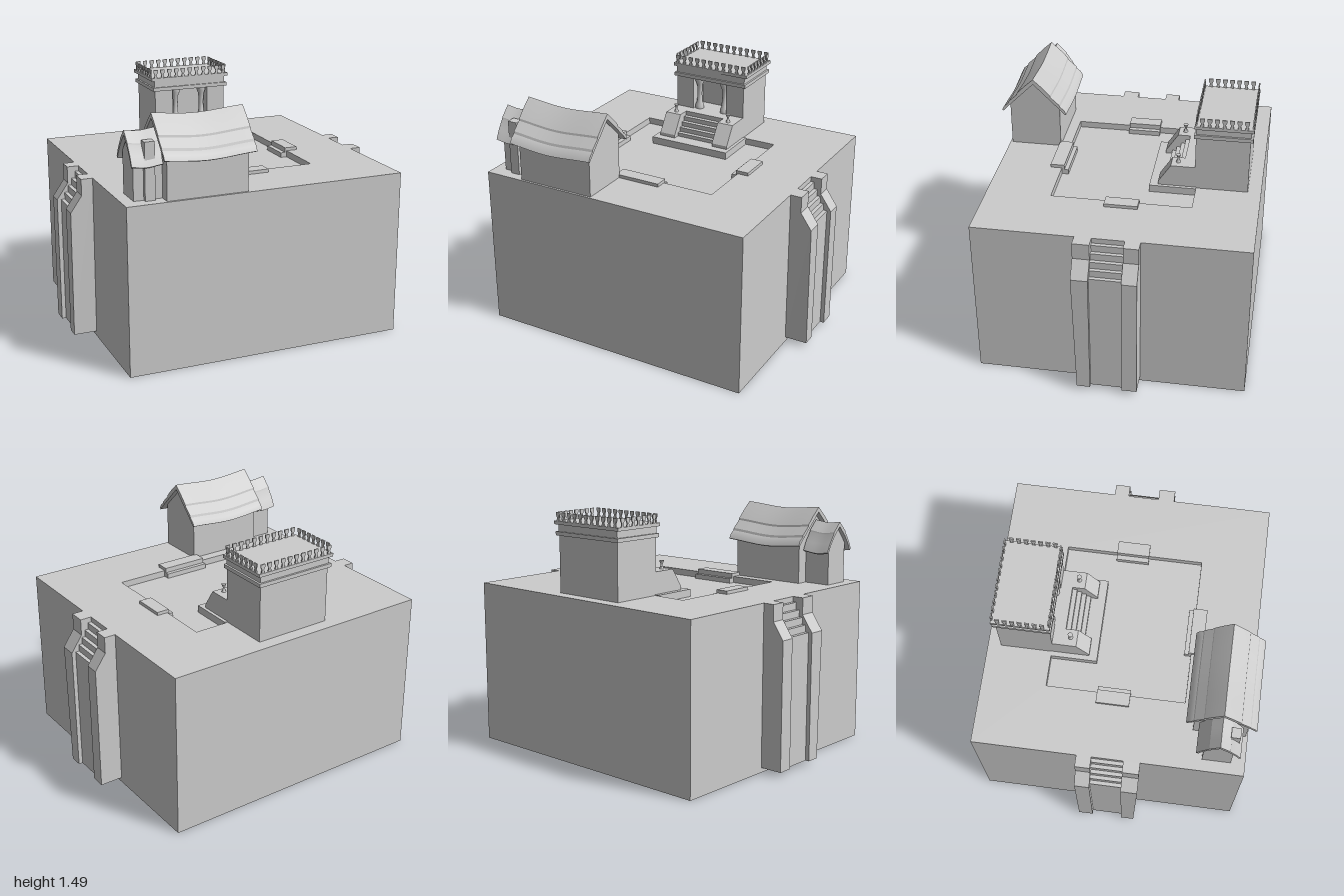
import * as THREE from 'three';
import { toCreasedNormals } from 'three/addons/utils/BufferGeometryUtils.js';

const mat = new THREE.MeshStandardMaterial({ color: 0xcccccc });
const open = new THREE.MeshStandardMaterial({ color: 0xcccccc, side: THREE.DoubleSide });

export function createModel() {
  const model = new THREE.Group();

  function add(name, geo, parent = model, material = mat) {
    const m = new THREE.Mesh(geo, material);
    m.name = name;
    parent.add(m);
    return m;
  }
  function group(name) {
    const g = new THREE.Group();
    g.name = name;
    model.add(g);
    return g;
  }
  // Box from limits; omit lists faces to leave out (0 +x, 1 -x, 2 +y, 3 -y, 4 +z, 5 -z)
  function box(x0, x1, y0, y1, z0, z1, omit = []) {
    const g = new THREE.BoxGeometry(x1 - x0, y1 - y0, z1 - z0);
    g.translate((x0 + x1) / 2, (y0 + y1) / 2, (z0 + z1) / 2);
    g.setIndex(Array.from(g.index.array).filter((_, i) => !omit.includes(Math.floor(i / 6))));
    return g;
  }
  const shapeOf = pts => new THREE.Shape(pts.map(p => new THREE.Vector2(p[0], p[1])));
  // Profile in (x, y) pulled along z
  function prismZ(pts, z0, z1) {
    const g = new THREE.ExtrudeGeometry(shapeOf(pts), { depth: z1 - z0, bevelEnabled: false });
    return g.translate(0, 0, z0);
  }
  // Profile in (z, y) pulled along x
  function prismX(pts, x0, x1, steps = 1) {
    const g = new THREE.ExtrudeGeometry(shapeOf(pts.map(([z, y]) => [-z, y])), { depth: x1 - x0, steps, bevelEnabled: false });
    return g.rotateY(Math.PI / 2).translate(x0, 0, 0);
  }

  // Hollow base block with a sunken court in its top
  const G = 1.01, FLOOR = 0.97;
  const base = group('base');
  add('baseWalls', box(-0.86, 0.86, 0, G, -0.83, 0.79, [2, 3]), base, open);
  const top = shapeOf([[-0.86, -0.79], [0.86, -0.79], [0.86, 0.83], [-0.86, 0.83]]);
  top.holes.push(new THREE.Path([[-0.46, -0.4], [-0.46, 0.44], [0.46, 0.44], [0.46, -0.4]].map(p => new THREE.Vector2(...p))));
  add('baseTop', new THREE.ShapeGeometry(top).rotateX(-Math.PI / 2).translate(0, G, 0), base, open);
  add('sunkenCourt', box(-0.46, 0.46, FLOOR, G, -0.44, 0.4, [2]), base, open);

  // Low steps into the court
  for (const s of [-1, 1]) {
    const step = (a, b, y) => box(Math.min(s * a, s * b), Math.max(s * a, s * b), FLOOR, y, -0.13, 0.07);
    add('courtStepUpper', step(0.45, 0.53, 1.03), base);
    add('courtStepLower', step(0.42, 0.45, 1.0), base);
  }
  add('courtStepUpper', box(-0.15, 0.14, FLOOR, 1.03, 0.385, 0.47), base);
  add('courtStepLower', box(-0.15, 0.14, FLOOR, 1.0, 0.36, 0.385), base);

  // Side stairs, each between two tall cheeks
  for (const s of [-1, 1]) {
    const side = group(s > 0 ? 'leftStairs' : 'rightStairs');
    const cheek = [[0.86, 0.03], [1, 0.03], [1, 0.81], [0.93, 0.91], [0.93, G], [0.86, G]].map(([x, y]) => [s * x, y]);
    add('backCheek', prismZ(cheek, -0.2, -0.11), side);
    const front = prismZ(cheek, 0.08, 0.18);
    const p = front.attributes.position;
    for (let i = 0; i < p.count; i++) if (p.getZ(i) > 0.1 && p.getY(i) < 0.1) p.setZ(i, 0.16);
    front.computeVertexNormals();
    add('frontCheek', front, side);
    const stair = [[0.86, 0.03], [0.975, 0.03]];
    for (let i = 0; i < 5; i++) {
      stair.push([0.975 - i * 0.023, 0.81 + i * 0.042], [0.952 - i * 0.023, 0.81 + i * 0.042]);
    }
    add('stairs', prismZ(stair.map(([x, y]) => [s * x, y]), -0.11, 0.08), side);
  }

  // Temple: body with a porch opening, plinth, cornices
  const temple = group('temple');
  add('plinth', box(-0.27, 0.26, FLOOR, G + 0.005, -0.44, -0.16), temple);
  add('rearBody', box(-0.24, 0.24, G, 1.36, -0.75, -0.56), temple);
  add('porchFloor', box(-0.24, 0.24, G, 1.15, -0.56, -0.36), temple);
  for (const s of [-1, 1]) {
    add('porchWall', s > 0 ? box(0.12, 0.24, 1.15, 1.36, -0.56, -0.43) : box(-0.24, -0.12, 1.15, 1.36, -0.56, -0.43), temple);
    // Stair cheek with sloping nose
    const x0 = s > 0 ? 0.135 : -0.24;
    add('stairCheek', prismX([[-0.44, G], [-0.21, G], [-0.21, 1.035], [-0.285, 1.09], [-0.285, 1.09], [-0.285, 1.15], [-0.44, 1.15]]
      .filter((q, i) => i !== 3 && i !== 4), x0, x0 + 0.105), temple);
    // Column with flared foot and head
    const column = [[0, 0], [0.028, 0], [0.028, 0.02], [0.018, 0.045], [0.015, 0.1], [0.018, 0.16], [0.028, 0.185], [0.028, 0.21], [0, 0.21]];
    add('column', toCreasedNormals(new THREE.LatheGeometry(column.map(q => new THREE.Vector2(...q)), 16), 0.7), temple)
      .position.set(s * 0.09, 1.15, -0.46);
    // Urn on the cheek
    const urn = [[0, 0], [0.014, 0], [0.006, 0.022], [0.006, 0.028], [0.015, 0.05], [0, 0.05]];
    add('urn', toCreasedNormals(new THREE.LatheGeometry(urn.map(q => new THREE.Vector2(...q)), 12), 0.6), temple)
      .position.set(s * 0.187, 1.15, -0.325);
  }
  for (let i = 0; i < 5; i++) {
    add('stairTread', box(-0.14, 0.14, G, 1.038 + i * 0.028, -0.44, -0.25 - i * 0.0275), temple);
  }
  add('lowerCornice', box(-0.255, 0.255, 1.355, 1.378, -0.765, -0.42), temple);
  add('frieze', box(-0.243, 0.243, 1.378, 1.42, -0.753, -0.43), temple);
  add('upperCornice', box(-0.263, 0.263, 1.42, 1.44, -0.768, -0.422), temple);

  // Row of flat goblet-shaped crenels round the temple roof
  const goblet = [[-0.011, 0], [0.011, 0], [0.006, 0.02], [0.014, 0.036], [0.014, 0.052], [-0.014, 0.052], [-0.014, 0.036], [-0.006, 0.02]];
  const crenel = prismZ(goblet, -0.004, 0.004);
  const place = (x, z, turn) => {
    const m = add('crenel', crenel, temple);
    m.position.set(x, 1.44, z);
    m.rotation.y = turn;
  };
  for (const z of [-0.761, -0.43]) for (let i = 0; i < 11; i++) place(-0.235 + i * 0.047, z, 0);
  for (const x of [-0.257, 0.257]) for (let i = 0; i < 7; i++) place(x, -0.725 + i * 0.0433, Math.PI / 2);

  // House: gabled walls under sagging, layered roofs
  const house = group('house');
  const ZC = 0.62;
  const gable = (half, eave, peak) => [[ZC - half, G], [ZC + half, G], [ZC + half, eave], [ZC, peak], [ZC - half, eave]];
  add('mainWalls', prismX(gable(0.157, 1.29, 1.435), -0.62, -0.13), house);
  add('wingWalls', prismX(gable(0.085, 1.26, 1.36), -0.79, -0.62), house);

  // half: [distance from ridge, height] points, top then underside
  function roof(name, outer, inner, x0, x1, sag) {
    const flip = a => a.map(([d, y]) => [ZC - d, y]);
    const right = a => a.map(([d, y]) => [ZC + d, y]);
    const loop = [...flip(outer).reverse(), ...right(outer).slice(1), ...right(inner).reverse(), ...flip(inner).slice(1)];
    const g = prismX(loop, x0, x1, 16);
    const p = g.attributes.position;
    for (let i = 0; i < p.count; i++) {
      const t = (p.getX(i) - x0) / (x1 - x0);
      p.setY(i, p.getY(i) - sag * Math.sin(Math.PI * t) + sag * 0.25 * Math.cos(7 * t));
    }
    add(name, toCreasedNormals(g, 0.45), house);
  }
  roof('mainRoof',
    [[0, 1.474], [0.06, 1.419], [0.105, 1.372], [0.108, 1.36], [0.16, 1.312], [0.165, 1.298], [0.19, 1.278], [0.205, 1.25]],
    [[0, 1.442], [0.1, 1.343], [0.155, 1.288], [0.185, 1.256], [0.195, 1.245]], -0.65, -0.1, 0.014);
  roof('wingRoof',
    [[0, 1.395], [0.06, 1.335], [0.063, 1.325], [0.1, 1.272], [0.128, 1.215]],
    [[0, 1.365], [0.06, 1.302], [0.095, 1.25], [0.115, 1.208]], -0.81, -0.63, 0.007);

  // Chimney against the wing's front wall, reaching below ground
  add('chimney', box(-0.73, -0.67, 0.91, 1.345, 0.675, 0.73), house);

  return model;
}
